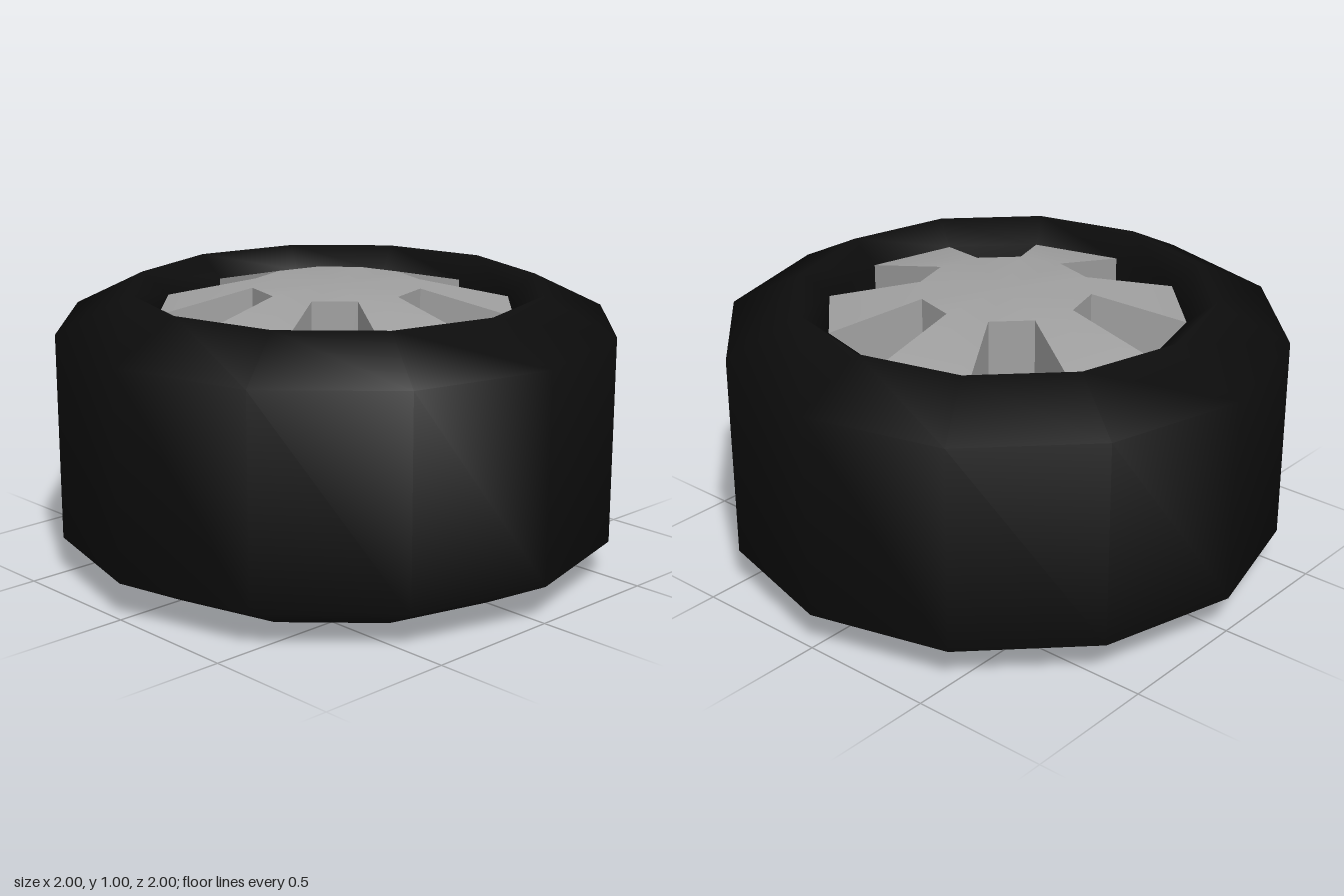
import * as THREE from 'three';
import { mergeGeometries, toCreasedNormals } from 'three/addons/utils/BufferGeometryUtils.js';

const HUB_R = 0.305, RIM_R = 0.64, STEP = Math.PI / 6;

// Wedge-shaped spoke: full height at the hub, thinner at the rim
function spokeGeometry(start) {
  const geo = new THREE.BoxGeometry(1, 1, 1);
  const pos = geo.attributes.position;
  for (let i = 0; i < pos.count; i++) {
    const outer = pos.getX(i) > 0;
    const r = outer ? RIM_R : HUB_R;
    const half = outer ? 0.42 : 0.5;
    const t = pos.getZ(i) > 0 ? start : start + STEP;
    pos.setXYZ(i, r * Math.sin(t), 0.5 + Math.sign(pos.getY(i)) * half, r * Math.cos(t));
  }
  return geo;
}

export function createModel() {
  const rubber = new THREE.MeshStandardMaterial({ color: 0x0d0d0d });
  rubber.name = 'black rubber';
  const metal = new THREE.MeshStandardMaterial({ color: 0xa0a0a0 });
  metal.name = 'grey metal';

  const group = new THREE.Group();
  group.name = 'wheel';

  // Twelve-sided tyre, a closed profile that starts and ends inside the bore
  const profile = [
    [RIM_R, 0.5], [RIM_R, 0.08], [0.74, 0], [1, 0.13],
    [1, 0.87], [0.74, 1], [RIM_R, 0.92], [RIM_R, 0.5],
  ].map(([r, y]) => new THREE.Vector2(r, y));
  const tyre = new THREE.Mesh(new THREE.LatheGeometry(profile, 12), rubber);
  tyre.name = 'tyre';
  group.add(tyre);

  // Hub with six spokes, open gaps between them
  const parts = [new THREE.CylinderGeometry(HUB_R, HUB_R, 1, 12).translate(0, 0.5, 0)];
  for (let k = 0; k < 6; k++) parts.push(spokeGeometry(2 * k * STEP));
  const rim = new THREE.Mesh(toCreasedNormals(mergeGeometries(parts), 0.4), metal);
  rim.name = 'hubAndSpokes';
  group.add(rim);

  return group;
}
